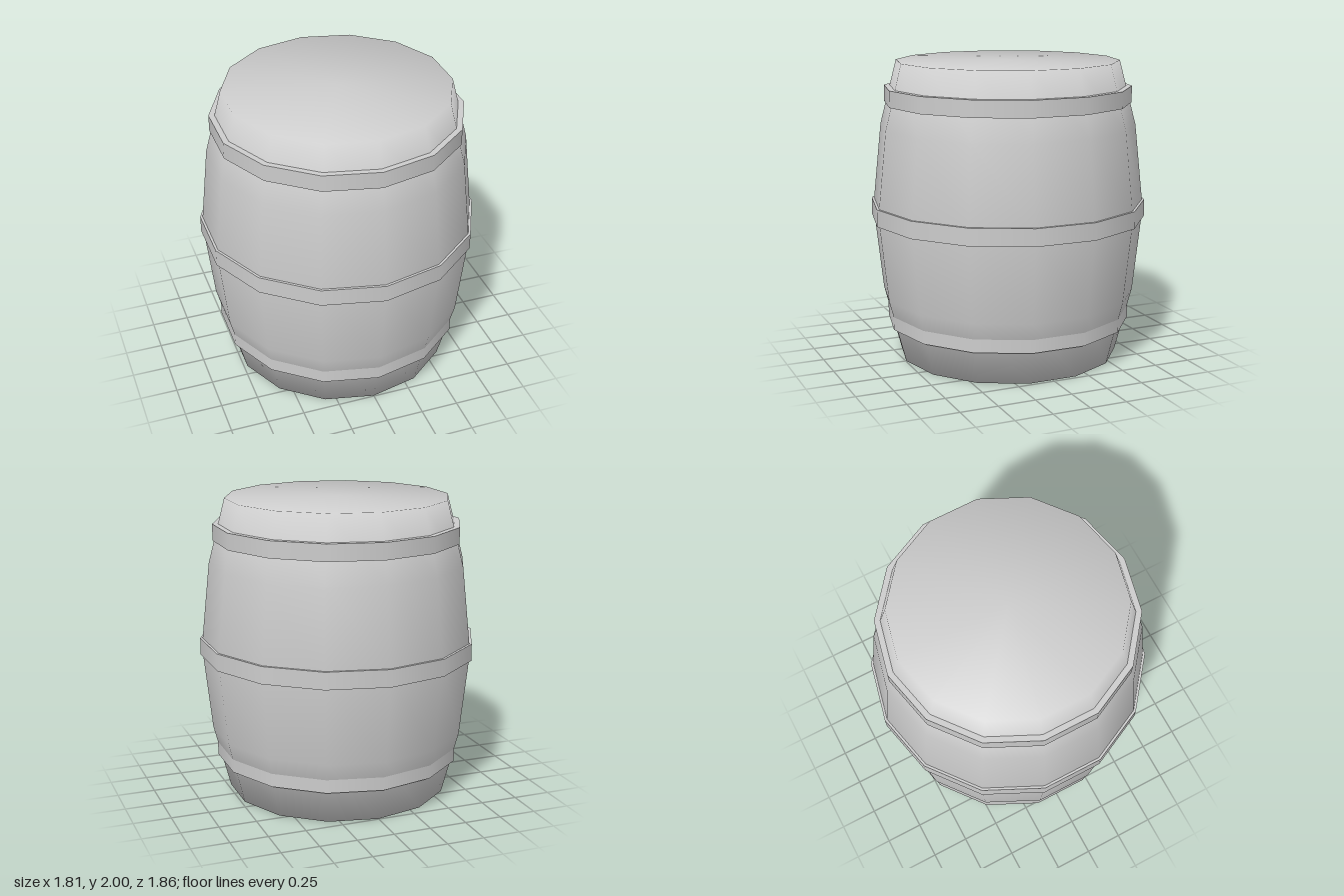
import * as THREE from 'three';

const SIDES = 14;

export function createModel() {
  const group = new THREE.Group();
  group.name = 'barrel';

  const grey = new THREE.MeshStandardMaterial({ color: 0xcccccc });
  grey.name = 'grey';

  // Bulging body with both ends closed, smoothly shaded over the rims
  const profile = [
    [0, 0], [0.745, 0], [0.857, 0.43], [0.918, 1], [0.857, 1.57], [0.745, 2], [0, 2],
  ].map(([r, y]) => new THREE.Vector2(r, y));
  const body = new THREE.Mesh(new THREE.LatheGeometry(profile, SIDES), grey);
  body.name = 'body';
  group.add(body);

  // Hoops: name, radius, bottom, top
  const hoops = [
    ['lowerHoop', 0.828, 0.23, 0.325],
    ['middleHoop', 0.928, 0.945, 1.06],
    ['upperHoop', 0.828, 1.72, 1.83],
  ];
  for (const [name, radius, bottom, top] of hoops) {
    const hoop = new THREE.Mesh(
      new THREE.CylinderGeometry(radius, radius, top - bottom, SIDES), grey);
    hoop.position.y = (bottom + top) / 2;
    hoop.name = name;
    group.add(hoop);
  }

  return group;
}
